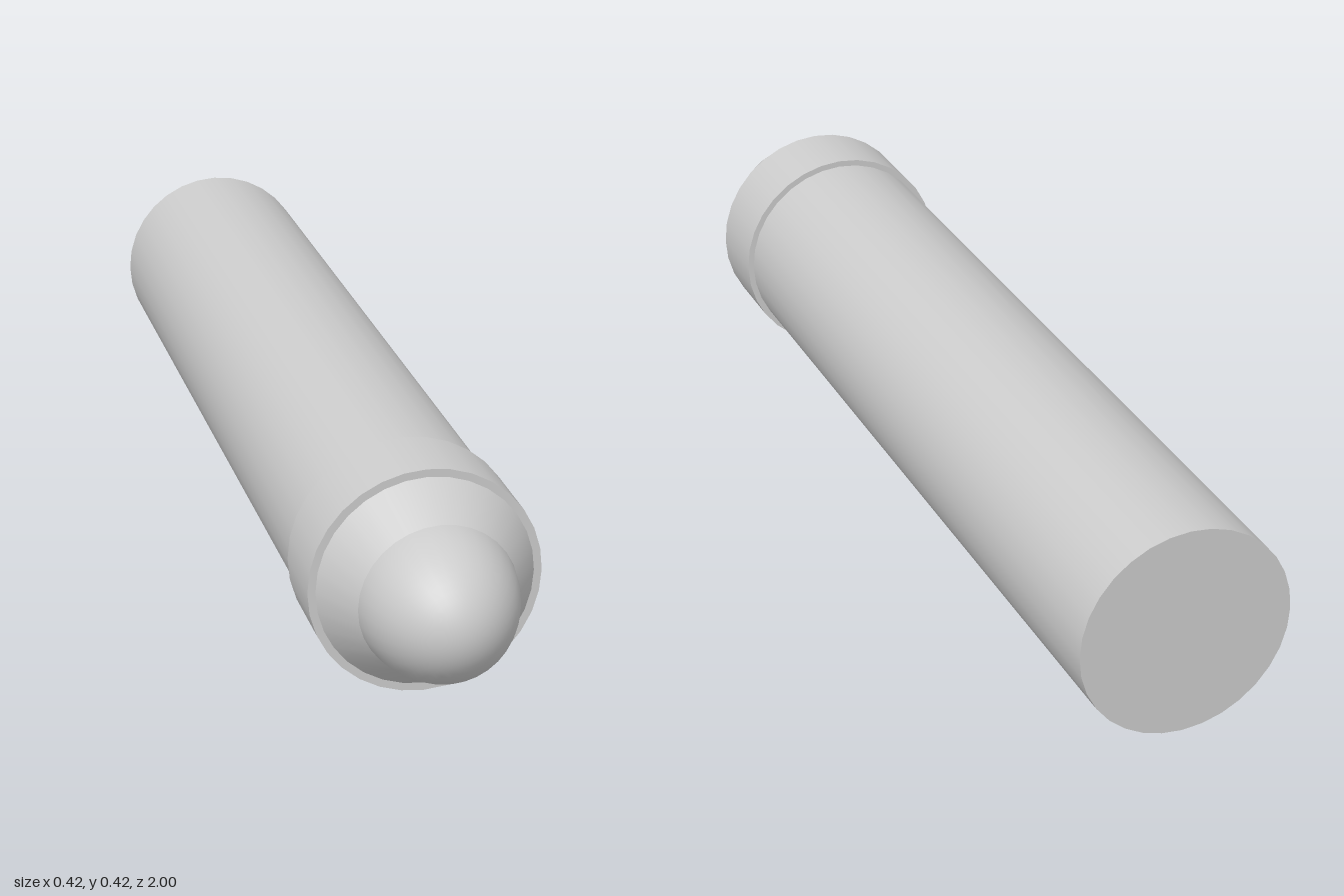
import * as THREE from 'three';

const SIDES = 32;
const AXIS_Y = 0.209;

export function createModel() {
  const group = new THREE.Group();
  group.name = 'roundNosedCylinder';
  const material = new THREE.MeshStandardMaterial({ color: 0xcccccc });

  // Every part is turned about one axis running along z.
  const add = (name, geometry, z) => {
    geometry.rotateX(Math.PI / 2);
    const mesh = new THREE.Mesh(geometry, material);
    mesh.name = name;
    mesh.position.set(0, AXIS_Y, z);
    group.add(mesh);
  };
  const section = (name, frontRadius, backRadius, zBack, zFront) =>
    add(name, new THREE.CylinderGeometry(frontRadius, backRadius, zFront - zBack, SIDES), (zBack + zFront) / 2);

  // Long body, raised collar and tapered shoulder
  section('body', 0.197, 0.197, -1, 0.68);
  section('collar', AXIS_Y, AXIS_Y, 0.608, 0.755);
  section('shoulder', 0.141, 0.198, 0.75, 0.838);

  // Stretched dome, its base sunk into the shoulder
  const dome = new THREE.SphereGeometry(0.144, SIDES, 16, 0, Math.PI * 2, 0, Math.PI / 2);
  dome.scale(1, 0.2 / 0.144, 1);
  add('noseDome', dome, 0.8);

  return group;
}
